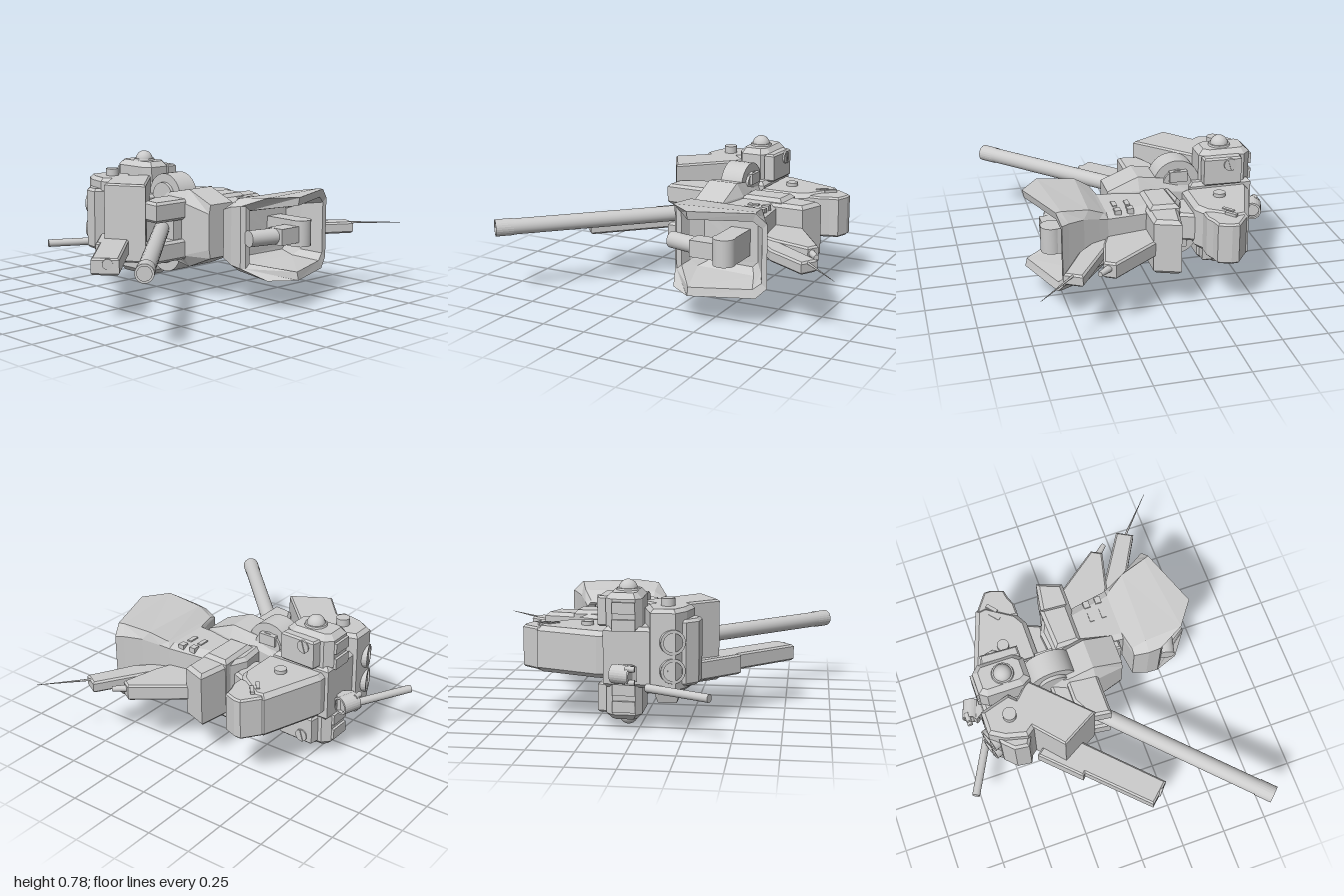
import * as THREE from 'three';

const grey = new THREE.MeshStandardMaterial({ color: 0xcccccc, flatShading: true, side: THREE.DoubleSide });
const smooth = new THREE.MeshStandardMaterial({ color: 0xcccccc });
const MID = 0.4; // height of the horizontal mirror plane
const V = (x, y, z) => new THREE.Vector3(x, y, z);

export function createModel() {
  const root = new THREE.Group();

  const add = (name, geo, mat = grey) => {
    const m = new THREE.Mesh(geo, mat);
    m.name = name;
    root.add(m);
    return m;
  };

  // Chamfered slab: outline in [x, z], between heights y0 and y1
  const slab = (name, pts, y0, y1, bevel = 0.02) => {
    const shape = new THREE.Shape(pts.map(([x, z]) => new THREE.Vector2(x, -z)));
    const geo = new THREE.ExtrudeGeometry(shape, {
      depth: y1 - y0 - 2 * bevel, bevelEnabled: true, bevelSize: bevel,
      bevelThickness: bevel, bevelOffset: -bevel, bevelSegments: 1,
    });
    geo.rotateX(-Math.PI / 2).translate(0, y0 + bevel, 0);
    return add(name, geo);
  };

  // The same slab above and below the mirror plane
  const slabPair = (name, pts, y0, y1, bevel) => {
    slab(name + 'Upper', pts, y0, y1, bevel);
    slab(name + 'Lower', pts, 2 * MID - y1, 2 * MID - y0, bevel);
  };

  // Round bar between two points
  const bar = (name, a, b, r0, r1 = r0, open = false, seg = 24) => {
    const d = b.clone().sub(a);
    const geo = new THREE.CylinderGeometry(r1, r0, d.length(), seg, 1, open);
    const m = add(name, geo, open ? grey : smooth);
    m.position.copy(a).addScaledVector(d, 0.5);
    m.quaternion.setFromUnitVectors(V(0, 1, 0), d.normalize());
    return m;
  };

  // Tube with a ring-shaped lip at its far end
  const tube = (name, a, b, r, inner) => {
    bar(name, a, b, r, r, true);
    const lip = add(name + 'Lip', new THREE.RingGeometry(inner, r, 24));
    lip.position.copy(b);
    lip.quaternion.setFromUnitVectors(V(0, 0, 1), b.clone().sub(a).normalize());
  };

  const box = (name, w, h, d, x, y, z, ry = 0) => {
    const m = add(name, new THREE.BoxGeometry(w, h, d));
    m.position.set(x, y, z);
    m.rotation.y = ry;
    return m;
  };

  // Loft of eight-sided sections; each is left, top-left, top-right, right [x, z], half height, side half height
  const loft = (name, sections) => {
    const pos = [];
    const rings = sections.map(([l, tl, tr, r, h, s]) =>
      [[r, -s], [r, s], [tr, h], [tl, h], [l, s], [l, -s], [tl, -h], [tr, -h]]
        .map(([p, y]) => [p[0], MID + y, p[1]]));
    for (let k = 0; k + 1 < rings.length; k++) {
      for (let i = 0; i < 8; i++) {
        const j = (i + 1) % 8;
        const [a, b, c, d] = [rings[k][i], rings[k][j], rings[k + 1][j], rings[k + 1][i]];
        pos.push(...a, ...b, ...c, ...a, ...c, ...d);
      }
    }
    const last = rings[rings.length - 1];
    for (let i = 1; i < 7; i++) {
      pos.push(...rings[0][0], ...rings[0][i + 1], ...rings[0][i]);
      pos.push(...last[0], ...last[i], ...last[i + 1]);
    }
    const geo = new THREE.BufferGeometry();
    geo.setAttribute('position', new THREE.Float32BufferAttribute(pos, 3));
    geo.computeVertexNormals();
    return add(name, geo);
  };

  // Main cannon with muzzle collar
  const muzzle = V(-0.97, MID, 0.758), breech = V(-0.1, MID, -0.087);
  const along = (t) => muzzle.clone().lerp(breech, t);
  bar('cannonBarrel', breech, along(0.02), 0.044);
  tube('muzzleCollar', along(0.08), muzzle, 0.047, 0.035);
  box('cannonMantlet', 0.08, 0.13, 0.1, -0.09, MID, -0.01);

  // Middle hull: slotted cannon mount and side wing
  slabPair('cannonMount', [[-0.28, 0.065], [-0.265, -0.05], [-0.15, -0.11], [0.02, -0.11], [0.02, 0.065]], 0.455, 0.57, 0.015);
  slab('mountCore', [[-0.25, -0.05], [-0.15, -0.2], [0.05, -0.2], [0.05, 0.04], [-0.06, 0.04], [-0.1, -0.05]], 0.27, 0.53, 0.015);
  slab('sideWing', [[0.12, -0.13], [0.3, -0.15], [0.39, -0.11], [0.6, -0.075], [0.55, 0.065], [0.1, 0.065]], 0.23, 0.54, 0.02);
  slab('wingEdge', [[0.18, -0.1], [0.43, -0.11], [0.42, 0.05], [0.18, 0.05]], 0.205, 0.56, 0.02);

  // Torso wedge
  loft('torso', [
    [[0.0, -0.26], [0.02, -0.26], [0.14, -0.26], [0.16, -0.26], 0.15, 0.1],
    [[-0.06, -0.1], [-0.03, -0.1], [0.13, -0.1], [0.17, -0.1], 0.19, 0.13],
    [[-0.07, 0.05], [-0.02, 0.05], [0.15, 0.05], [0.19, 0.05], 0.22, 0.15],
    [[-0.03, 0.22], [-0.02, 0.22], [0.15, 0.22], [0.16, 0.22], 0.15, 0.1],
  ]);
  slab('torsoNose', [[0.08, 0.2], [0.15, 0.2], [0.14, 0.255], [0.08, 0.255]], 0.29, 0.51, 0.01);

  // Knuckle discs on the waist, above and below
  for (const s of [1, -1]) {
    bar('waistKnuckle', V(0.0, MID + s * 0.155, -0.175), V(0.13, MID + s * 0.155, -0.175), 0.13, 0.13, false, 32);
    bar('knuckleCap', V(-0.02, MID + s * 0.155, -0.175), V(0.145, MID + s * 0.155, -0.175), 0.08, 0.08, false, 32);
    box('knuckleClamp', 0.04, 0.06, 0.1, 0.14, MID + s * 0.2, -0.18);
  }

  // Central column: chamfered housings with domes and side bolts
  const housing = [[0.01, -0.59], [0.13, -0.59], [0.17, -0.55], [0.17, -0.35], [0.13, -0.3], [0.01, -0.3], [-0.02, -0.35], [-0.02, -0.55]];
  slabPair('columnHousing', housing, 0.52, 0.735, 0.03);
  slab('columnCore', [[-0.08, -0.59], [0.18, -0.59], [0.18, -0.24], [-0.08, -0.24]], 0.24, 0.56, 0.02);
  slabPair('columnPlate', [[0.16, -0.53], [0.22, -0.52], [0.21, -0.31], [0.15, -0.31]], 0.55, 0.71, 0.01);
  for (const s of [1, -1]) {
    bar('domeCollar', V(0.07, MID + s * 0.325, -0.435), V(0.07, MID + s * 0.345, -0.435), 0.065, 0.058);
    const dome = add('dome', new THREE.SphereGeometry(0.05, 24, 16), smooth);
    dome.position.set(0.07, MID + s * 0.34, -0.435);
    bar('sideBolt', V(0.15, MID + s * 0.27, -0.455), V(0.225, MID + s * 0.27, -0.455), 0.035);
    box('boltSlot', 0.01, 0.07, 0.01, 0.225, MID + s * 0.27, -0.455).rotation.x = 0.3;
    for (const y of [0.17, 0.26]) box('columnBackPad', 0.12, 0.06, 0.03, 0.07, MID + s * y, -0.59);
  }

  // Rear pod reaching to the model's left, with claw-like end
  slab('rearPod', [[0.16, -0.57], [0.22, -0.57], [0.56, -0.45], [0.57, -0.39], [0.47, -0.24], [0.4, -0.2], [0.16, -0.2]], 0.28, 0.53, 0.025);
  slab('podFront', [[0.16, -0.24], [0.42, -0.24], [0.37, -0.12], [0.2, -0.13]], 0.32, 0.48, 0.015);
  slab('podEnd', [[0.48, -0.42], [0.56, -0.44], [0.655, -0.37], [0.655, -0.33], [0.63, -0.26], [0.58, -0.25], [0.53, -0.23], [0.46, -0.23]], 0.29, 0.52, 0.01);
  bar('podPin', V(0.3, 0.26, -0.37), V(0.3, 0.55, -0.37), 0.033);
  for (const x of [0.49, 0.54]) for (const y of [0.285, 0.525]) box('podVent', 0.07, 0.02, 0.02, x, y, -0.36, 0.7);

  // Thruster block on the model's right, with two nozzles and a roof stub
  slab('thrusterBlock', [[-0.2, -0.61], [-0.07, -0.61], [-0.02, -0.44], [-0.18, -0.28], [-0.28, -0.41], [-0.25, -0.53]], 0.22, 0.66, 0.02);
  slab('thrusterHousing', [[-0.07, -0.58], [-0.25, -0.56], [-0.31, -0.5], [-0.32, -0.42], [-0.2, -0.36]], 0.25, 0.6, 0.015);
  for (const y of [0.34, 0.49]) {
    const at = (t) => V(-0.165 - 0.35 * t, y, -0.55 - 0.94 * t);
    tube('thrusterNozzle', at(0), at(0.07), 0.066, 0.05);
    bar('thrusterPlug', at(0), at(0.055), 0.045, 0.025);
  }
  bar('roofStub', V(-0.145, 0.65, -0.47), V(-0.145, 0.7, -0.47), 0.037);
  const foot = add('undersideFoot', new THREE.CylinderGeometry(0.1, 0.07, 0.07, 4, 1).rotateY(Math.PI / 4));
  foot.position.set(-0.145, 0.18, -0.45);

  // Big side box with slim secondary gun
  slab('sideBox', [[-0.395, -0.24], [-0.13, -0.47], [0.02, -0.32], [-0.275, -0.03]], 0.22, 0.66, 0.01);
  slab('secondaryGun', [[-0.79, 0.13], [-0.69, 0.24], [-0.24, -0.2], [-0.35, -0.31]], 0.26, 0.35, 0.01);
  slab('secondaryGunRail', [[-0.51, -0.18], [-0.47, -0.14], [-0.27, -0.33], [-0.31, -0.38]], 0.24, 0.35, 0.01);
  bar('gunMuzzle', V(-0.6, 0.32, 0.05), V(-0.735, 0.32, 0.2), 0.028);

  // Small rear barrel and sensor
  bar('rearBarrel', V(-0.05, 0.245, -0.595), V(-0.39, 0.245, -0.775), 0.022);
  box('sensorBase', 0.07, 0.08, 0.09, 0.05, 0.325, -0.62, 0.6);
  tube('sensorTube', V(0.02, 0.325, -0.665), V(0.12, 0.325, -0.63), 0.05, 0.038);
  bar('sensorLens', V(0.02, 0.325, -0.665), V(0.1, 0.325, -0.637), 0.039);
  for (const y of [0.29, 0.36]) bar('sensorPin', V(0.0, y, -0.68), V(0.05, y, -0.68), 0.015);

  // Open bell: neck, flared outer wall, slanted rim, inner wall and floor
  loft('bell', [
    [[0.14, 0.04], [0.17, 0.04], [0.34, 0.04], [0.39, 0.04], 0.14, 0.11],
    [[0.12, 0.28], [0.15, 0.28], [0.39, 0.28], [0.43, 0.28], 0.14, 0.12],
    [[0.0, 0.3], [0.04, 0.3], [0.41, 0.3], [0.45, 0.33], 0.15, 0.135],
    [[-0.02, 0.38], [0.04, 0.38], [0.46, 0.39], [0.49, 0.42], 0.2, 0.16],
    [[-0.02, 0.45], [0.045, 0.59], [0.5, 0.54], [0.54, 0.51], 0.225, 0.17],
    [[0.0, 0.47], [0.18, 0.69], [0.51, 0.57], [0.565, 0.55], 0.225, 0.17],
    [[0.03, 0.47], [0.18, 0.68], [0.49, 0.565], [0.535, 0.55], 0.18, 0.145],
    [[0.05, 0.41], [0.09, 0.4], [0.43, 0.42], [0.48, 0.44], 0.16, 0.13],
    [[0.11, 0.36], [0.14, 0.36], [0.4, 0.37], [0.43, 0.37], 0.13, 0.1],
  ]);
  for (const z of [0.15, 0.22]) for (const s of [1, -1]) {
    box('neckRib', 0.06, 0.015, 0.025, 0.3, MID + s * 0.14, z);
    box('neckLug', 0.04, 0.05, 0.035, 0.36 + z * 0.1, MID + s * 0.125, z);
  }

  // Pivot inside the bell
  bar('pivotShaft', V(-0.01, MID, 0.5), V(0.2, MID, 0.55), 0.045);
  box('pivotArm', 0.17, 0.09, 0.1, 0.23, MID, 0.55);
  bar('pivotKnuckle', V(0.33, 0.33, 0.565), V(0.33, 0.475, 0.565), 0.06);
  box('pivotRoot', 0.11, 0.145, 0.19, 0.33, 0.4025, 0.465);

  // Flat fin, antenna arm and needle on the model's left
  slab('fin', [[0.36, 0.05], [0.55, 0.05], [0.745, 0.31], [0.71, 0.37], [0.5, 0.32], [0.4, 0.28]], 0.33, 0.42, 0.01);
  bar('finPeg', V(0.69, 0.385, 0.31), V(0.77, 0.385, 0.4), 0.022, 0.014);
  slab('antennaArm', [[0.43, 0.295], [0.48, 0.285], [0.815, 0.495], [0.765, 0.585], [0.65, 0.52], [0.54, 0.46], [0.43, 0.35]], 0.345, 0.41, 0.01);
  bar('antennaNeedle', V(0.77, 0.4, 0.53), V(1.0, 0.4, 0.74), 0.007, 0.001, false, 8);

  return root;
}
